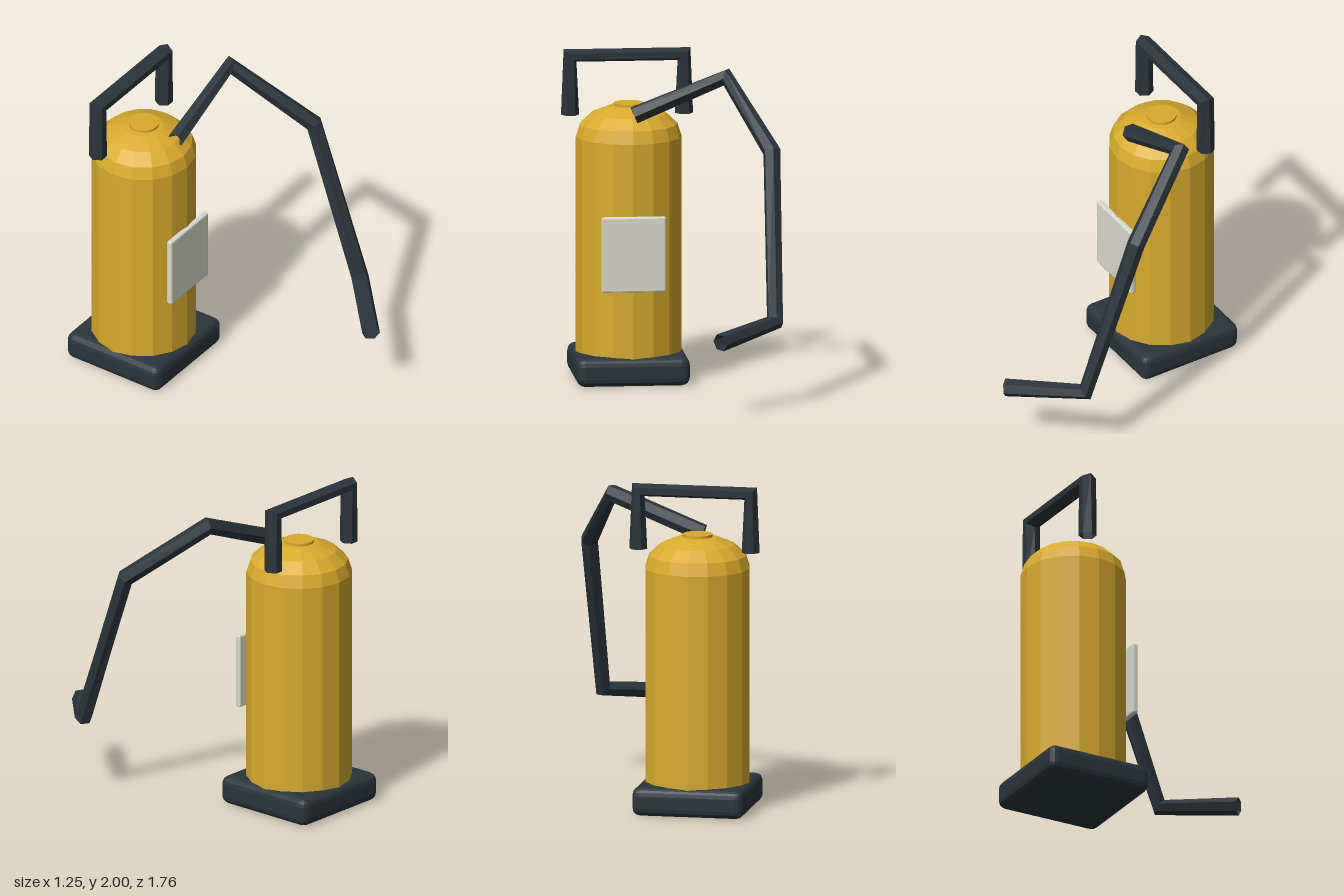
import * as THREE from 'three';
import { RoundedBoxGeometry } from 'three/addons/geometries/RoundedBoxGeometry.js';

const mat = (name, color, extra = {}) =>
  new THREE.MeshStandardMaterial({ name, color, flatShading: true, ...extra });

// Straight-sided path: one ring per corner, facing along the bisector
class CornerPath extends THREE.Curve {
  constructor(points, turned) {
    super();
    this.points = points.map((p) => new THREE.Vector3(...p));
    this.turned = turned;
  }
  index(u) { return Math.round(u * (this.points.length - 1)); }
  getPoint(u, target = new THREE.Vector3()) { return target.copy(this.points[this.index(u)]); }
  getPointAt(u, target) { return this.getPoint(u, target); }
  getTangentAt(u, target = new THREE.Vector3()) {
    const i = this.index(u), p = this.points;
    target.set(0, 0, 0);
    if (i > 0) target.add(p[i].clone().sub(p[i - 1]).normalize());
    if (i < p.length - 1) target.add(p[i + 1].clone().sub(p[i]).normalize());
    return target.normalize();
  }
  computeFrenetFrames(segments, closed) {
    const f = super.computeFrenetFrames(segments, closed);
    if (!this.turned) return f;
    return { tangents: f.tangents, normals: f.binormals, binormals: f.normals.map((n) => n.clone().negate()) };
  }
}

export function createModel() {
  const group = new THREE.Group();
  const yellow = mat('yellow paint', 0xd9ab2c);
  const dark = mat('dark rubber', 0x2b353c);
  const tubeDark = mat('dark tube', 0x2b353c, { side: THREE.DoubleSide });
  const pale = mat('pale label', 0xdadacf);
  const CX = -0.23, CZ = -0.54;

  const add = (name, geometry, material, x = 0, y = 0, z = 0) => {
    const mesh = new THREE.Mesh(geometry, material);
    mesh.name = name;
    mesh.position.set(x, y, z);
    group.add(mesh);
  };
  const tube = (name, points, turned) =>
    add(name, new THREE.TubeGeometry(new CornerPath(points, turned), points.length - 1, 0.055, 6), tubeDark);

  // Square foot with softened edges
  add('base', new RoundedBoxGeometry(0.685, 0.175, 0.685, 2, 0.05), dark, CX, 0.0875, CZ);

  // Tank with a flattened dome
  const profile = [new THREE.Vector2(0, 0.1), new THREE.Vector2(0.32, 0.1)];
  for (let i = 0; i <= 4; i++) {
    const a = (i / 4) * Math.PI / 2;
    profile.push(new THREE.Vector2(i === 4 ? 0 : 0.32 * Math.cos(a), 1.48 + 0.2 * Math.sin(a)));
  }
  add('tank', new THREE.LatheGeometry(profile, 16), yellow, CX, 0, CZ);
  add('tankCap', new THREE.CylinderGeometry(0.09, 0.09, 0.04, 24), yellow, CX, 1.665, CZ);

  // Label plate on the front
  add('label', new RoundedBoxGeometry(0.39, 0.46, 0.036, 1, 0.01), pale, CX, 0.81, -0.217);

  // Carrying handle
  tube('handle', [
    [-0.575, 1.6, -0.635], [-0.575, 1.961, -0.635],
    [0.115, 1.961, -0.635], [0.115, 1.6, -0.635],
  ], true);

  // Bent hose
  tube('hose', [
    [-0.22, 1.645, -0.31], [0.34, 1.87, -0.31], [0.57, 1.49, 0.15],
    [0.555, 0.51, 0.5], [0.19, 0.447, 0.84],
  ], false);

  return group;
}
